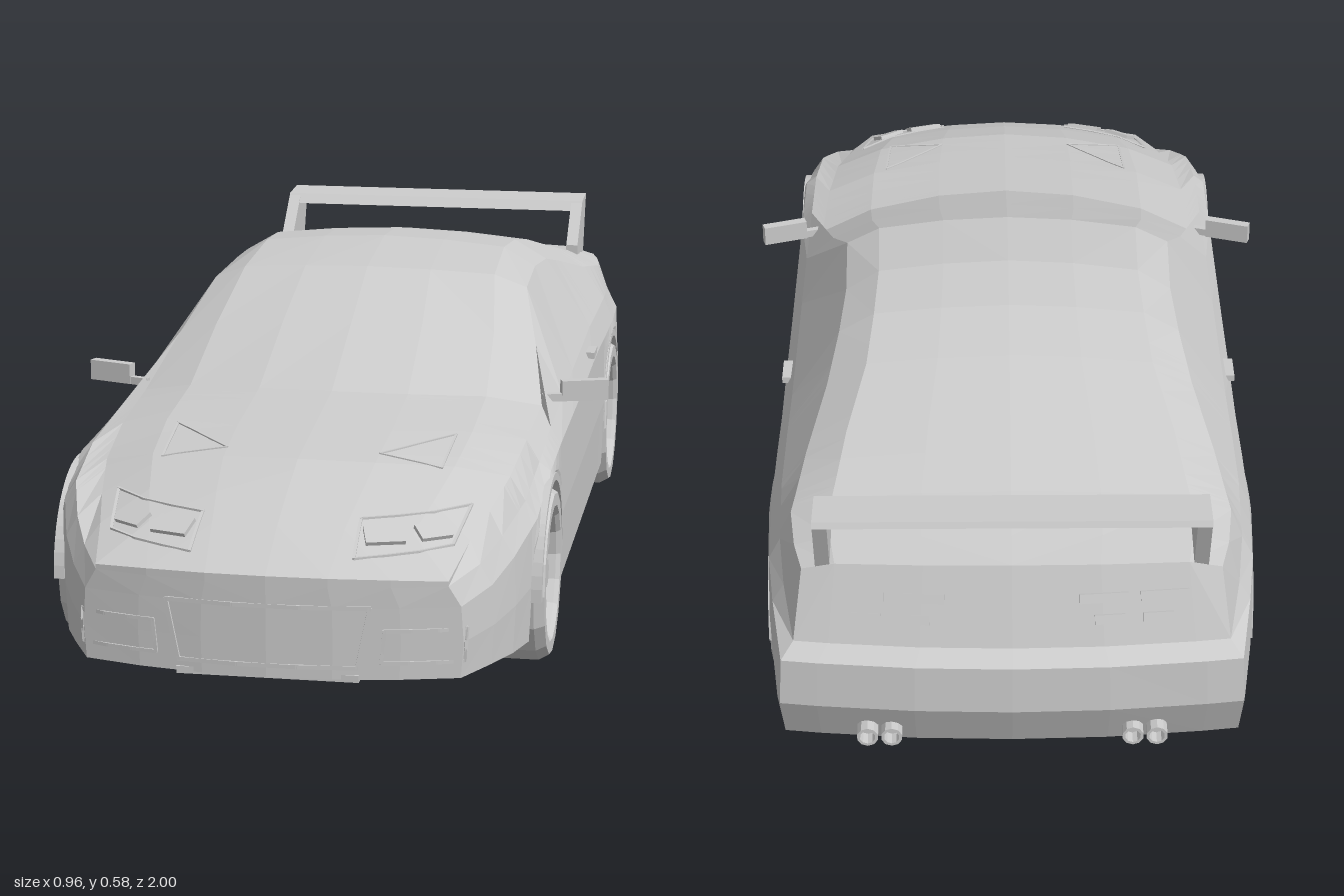
import * as THREE from 'three';

const mat = new THREE.MeshStandardMaterial({ color: 0xcccccc, flatShading: true });
const shell = new THREE.MeshStandardMaterial({ color: 0xcccccc, flatShading: true, side: THREE.DoubleSide });
const V = (x, y, z) => new THREE.Vector3(x, y, z);
const AXLES = [0.585, -0.565], ARCH = 0.165, HUB_Y = 0.15, WELL_X = 0.28;

// Body stations, nose to tail: z, half width, flank y, belt y, roof edge x/y, roof x/y, centre y
const STATIONS = [
  [1.0, 0.31, 0.20, 0.235, 0.29, 0.243, 0.20, 0.247, 0.25],
  [0.9, 0.35, 0.215, 0.25, 0.31, 0.28, 0.22, 0.295, 0.305],
  [0.82, 0.378, 0.245, 0.28, 0.33, 0.305, 0.24, 0.325, 0.337],
  [0.72, 0.405, 0.285, 0.315, 0.35, 0.335, 0.26, 0.357, 0.37],
  [0.58, 0.412, 0.33, 0.345, 0.36, 0.36, 0.27, 0.38, 0.388],
  [0.40, 0.412, 0.335, 0.36, 0.365, 0.374, 0.27, 0.398, 0.41],
  [0.20, 0.412, 0.335, 0.37, 0.335, 0.45, 0.26, 0.475, 0.49],
  [0.02, 0.412, 0.335, 0.375, 0.30, 0.525, 0.24, 0.55, 0.562],
  [-0.18, 0.412, 0.34, 0.38, 0.295, 0.53, 0.235, 0.567, 0.584],
  [-0.32, 0.412, 0.34, 0.385, 0.303, 0.52, 0.24, 0.557, 0.574],
  [-0.45, 0.414, 0.34, 0.385, 0.32, 0.49, 0.25, 0.533, 0.55],
  [-0.6, 0.415, 0.34, 0.385, 0.35, 0.45, 0.28, 0.492, 0.51],
  [-0.75, 0.41, 0.335, 0.375, 0.37, 0.425, 0.30, 0.455, 0.47],
  [-0.85, 0.40, 0.31, 0.345, 0.36, 0.422, 0.30, 0.442, 0.45],
  [-0.92, 0.38, 0.285, 0.305, 0.345, 0.42, 0.29, 0.434, 0.44],
];
// Fore-aft bow of the cross-sections, for the upper body and for the flanks
const BOW_TOP = [[1, 0.08], [0.4, 0.12], [0, 0.05], [-0.3, 0], [-0.7, 0], [-0.92, -0.03]];
const BOW_SIDE = [[1, 0.08], [0.92, 0.04], [0.8, 0], [-0.8, 0], [-0.92, -0.03]];
const SILL = [[1, 0.08], [-0.3, 0.08], [-0.75, 0.095], [-0.92, 0.115]];
const TAIL_PUSH = [-0.045, -0.08, -0.075, -0.045];

// Linear lookup in a table sorted by falling z
function look(table, z, col = 1) {
  let i = 0;
  while (i < table.length - 2 && z < table[i + 1][0]) i++;
  const a = table[i], b = table[i + 1];
  return THREE.MathUtils.lerp(a[col], b[col], THREE.MathUtils.clamp((a[0] - z) / (a[0] - b[0]), 0, 1));
}

const bowed = (x, y, z, bow) => V(x, y, z - bow * (x / 0.4) ** 2);

// Half cross-section from sill to roof centre
function section(z) {
  const [w, yC, yD, xE, yE, xF, yF, yH] = [1, 2, 3, 4, 5, 6, 7, 8].map(c => look(STATIONS, z, c));
  let yA = look(SILL, z);
  for (const c of AXLES) {
    const d = Math.abs(z - c);
    if (d < ARCH - 1e-4) yA = HUB_Y + Math.sqrt(ARCH * ARCH - d * d);
  }
  const pts = [[w, yA], [w + 0.004, (yA + yC) / 2], [w, yC], [w - 0.02, yD],
    [xE, yE], [xF, yF], [xF / 2, yF * 0.3 + yH * 0.7], [0, yH]];
  return pts.map(([x, y], k) =>
    bowed(x, y, z + (z < -0.919 && k < 4 ? TAIL_PUSH[k] : 0), look(k < 4 ? BOW_SIDE : BOW_TOP, z)));
}

function bodyGeometry() {
  const pos = [];
  const tri = (a, b, c) => {
    for (const p of [a, b, c]) pos.push(p.x, p.y, p.z);
    for (const p of [a, c, b]) pos.push(-p.x, p.y, p.z);
  };
  const quad = (a, b, c, d) => { tri(a, b, c); tri(a, c, d); };
  const zs = STATIONS.map(s => s[0]);
  for (const c of AXLES) for (let i = 0; i <= 10; i++) zs.push(c + ARCH * Math.cos(i * Math.PI / 10));
  zs.sort((a, b) => b - a);
  const stations = zs.filter((z, i) => i === 0 || zs[i - 1] - z > 0.002);

  // Skin, floor and wheel wells
  for (let i = 0; i < stations.length - 1; i++) {
    const mid = (stations[i] + stations[i + 1]) / 2;
    const inArch = AXLES.some(c => Math.abs(mid - c) < ARCH);
    const [r, s] = [stations[i], stations[i + 1]].map(z => {
      const p = section(z), a = p[0], y = look(SILL, z);
      const under = inArch ? [V(0, y, a.z), V(WELL_X, y, a.z), V(WELL_X, a.y, a.z)] : [V(0, a.y, a.z)];
      return [...under, ...p];
    });
    for (let k = 0; k < r.length - 1; k++) quad(r[k], s[k], s[k + 1], r[k + 1]);
  }
  // Nose and tail panels
  for (const z of [1, -0.92]) {
    const p = section(z), bow = look(BOW_SIDE, z), top = p.slice(4);
    const rows = [0, 1, 2, 3].map(k => top.map(t => {
      const x = p[k].x * t.x / top[0].x;
      return bowed(x, p[k].y, p[k].z + bow * (p[k].x / 0.4) ** 2, bow);
    }));
    rows.push(top);
    const c = V(0, p[0].y, p[0].z);
    for (let j = 0; j < 3; j++) {
      for (let k = 0; k < 4; k++) {
        const q = [rows[k][j + 1], rows[k][j], rows[k + 1][j], rows[k + 1][j + 1]];
        quad(...(z > 0 ? q : q.reverse()));
      }
      const f = [c, rows[0][j], rows[0][j + 1]];
      tri(...(z > 0 ? f : f.reverse()));
    }
  }
  const g = new THREE.BufferGeometry();
  g.setAttribute('position', new THREE.Float32BufferAttribute(pos, 3));
  g.computeVertexNormals();
  return g;
}

// Side profile given as (-z, y), extruded along x
function profileX(shape, x0, depth) {
  return new THREE.ExtrudeGeometry(shape, { depth, bevelEnabled: false, curveSegments: 12 })
    .rotateY(Math.PI / 2).translate(x0, 0, 0);
}
const polygon = pts => new THREE.Shape(pts.map(p => new THREE.Vector2(...p)));

export function createModel() {
  const car = new THREE.Group();
  car.name = 'sportsCar';
  const add = (name, geo, parent = car, m = mat) => {
    const mesh = new THREE.Mesh(geo, m);
    mesh.name = name;
    parent.add(mesh);
    return mesh;
  };
  const body = add('body', bodyGeometry(), car, shell);

  // Finds the body surface from the front, rear or top
  const ray = new THREE.Raycaster();
  function surface(u, v, from) {
    if (from === 'top') ray.set(V(u, 3, v), V(0, -1, 0));
    else ray.set(V(u, v, from === 'front' ? 3 : -3), V(0, 0, from === 'front' ? -1 : 1));
    const hit = ray.intersectObject(body)[0];
    return hit ? { point: hit.point, normal: hit.face.normal } : { point: V(u, v, 0), normal: V(0, 1, 0) };
  }
  // Thin rim following the body around an opening
  function rim(name, corners, from, t = 0.007) {
    const g = new THREE.Group();
    g.name = name;
    car.add(g);
    corners.forEach(([u, v], i) => {
      const [u2, v2] = corners[(i + 1) % corners.length];
      for (let k = 0; k < 3; k++) {
        const [a, b] = [k / 3, (k + 1) / 3].map(f => surface(u + (u2 - u) * f, v + (v2 - v) * f, from).point);
        const bar = add(name + 'Edge', new THREE.BoxGeometry(t, t, a.distanceTo(b) + t / 2), g);
        bar.position.copy(a).lerp(b, 0.5);
        bar.lookAt(b);
      }
    });
  }
  // Small block seated on the body
  function plate(name, u, v, w, h, from, t = 0.014) {
    const { point, normal } = surface(u, v, from);
    const m = add(name, new THREE.BoxGeometry(w, h, t));
    m.position.copy(point);
    m.lookAt(point.clone().add(normal));
  }

  // Nose openings and front lip
  rim('grilleOpening', [[-0.167, 0.2], [0.167, 0.2], [0.147, 0.1], [-0.147, 0.1]], 'front');
  add('frontLip', new THREE.BoxGeometry(0.3, 0.012, 0.06)).position.set(0, 0.082, 0.962);

  // Wheel parts
  const tyre = new THREE.LatheGeometry([[0, -0.06], [0.14, -0.06], [0.15, -0.048], [0.15, 0.045], [0.14, 0.0625],
    [0.118, 0.0625], [0.112, 0.055], [0.104, 0.015], [0, 0.015]].map(p => new THREE.Vector2(...p)), 16)
    .rotateZ(-Math.PI / 2);
  const hub = new THREE.CylinderGeometry(0.024, 0.028, 0.04, 10).rotateZ(-Math.PI / 2).translate(0.032, 0, 0);
  const spoke = new THREE.BoxGeometry(0.03, 0.1, 0.024).translate(0.029, 0.06, 0);

  for (const s of [1, -1]) {
    for (const z of AXLES) {
      const wheel = new THREE.Group();
      wheel.name = (z > 0 ? 'front' : 'rear') + 'Wheel';
      wheel.position.set(s * 0.357, HUB_Y, z);
      wheel.rotation.y = s > 0 ? 0 : Math.PI;
      car.add(wheel);
      add('tyre', tyre, wheel);
      add('hub', hub, wheel);
      for (let i = 0; i < 5; i++) add('spoke', spoke, wheel).rotation.x = i * Math.PI * 0.4;

      // Wheel arch lip
      const lip = new THREE.Shape();
      lip.absarc(-z, HUB_Y, 0.173, 0, Math.PI, false);
      lip.absarc(-z, HUB_Y, 0.16, Math.PI, 0, true);
      add('archLip', profileX(lip, s > 0 ? 0.4 : -0.418, 0.018));
    }
    rim('bumperDuct', [[s * 0.19, 0.162], [s * 0.318, 0.162], [s * 0.315, 0.108], [s * 0.185, 0.108]], 'front', 0.006);
    rim('headlightFrame', [[s * 0.132, 0.312], [s * 0.3, 0.315], [s * 0.285, 0.278], [s * 0.135, 0.27]], 'front', 0.005);
    plate('headlightLens', s * 0.175, 0.293, 0.065, 0.04, 'front');
    plate('headlightLens', s * 0.25, 0.293, 0.055, 0.035, 'front');
    rim('hoodVent', [[s * 0.245, 0.55], [s * 0.215, 0.58], [s * 0.132, 0.67], [s * 0.24, 0.69]], 'top', 0.004);

    // Tail lamps and twin exhausts
    for (const [x, y, w] of [[0.15, 0.385, 0.08], [0.25, 0.385, 0.08], [0.16, 0.35, 0.05], [0.24, 0.35, 0.05]])
      plate('tailLamp', s * x, y, w, 0.016, 'rear', 0.01);
    for (const x of [0.2, 0.24]) {
      const pipe = [[0, -0.03], [0.018, -0.03], [0.018, 0.03], [0.013, 0.03], [0.013, 0.005], [0, 0.005]];
      add('exhaust', new THREE.LatheGeometry(pipe.map(p => new THREE.Vector2(...p)), 10).rotateX(-Math.PI / 2))
        .position.set(s * x, 0.145, -0.965);
    }

    // Door mirror and handle
    const mirror = add('doorMirror', new THREE.BoxGeometry(0.085, 0.037, 0.018));
    mirror.position.set(s * 0.437, 0.397, 0.26);
    mirror.rotation.y = s * 0.32;
    const stalk = add('mirrorStalk', new THREE.BoxGeometry(0.045, 0.014, 0.012));
    stalk.position.set(s * 0.385, 0.385, 0.278);
    stalk.rotation.y = s * 0.32;
    add('doorHandle', new THREE.BoxGeometry(0.02, 0.012, 0.06)).position.set(s * 0.406, 0.36, -0.2);

    // Spoiler uprights
    const upright = polygon([[0.77, 0.425], [0.9, 0.425], [0.945, 0.54], [0.865, 0.54], [0.77, 0.462]]);
    add('spoilerUpright', profileX(upright, s > 0 ? 0.298 : -0.322, 0.024));
  }
  // Spoiler blade
  add('spoilerBlade', profileX(
    polygon([[0.848, 0.522], [0.9, 0.518], [0.95, 0.535], [0.945, 0.545], [0.865, 0.541]]), -0.322, 0.644));
  return car;
}
